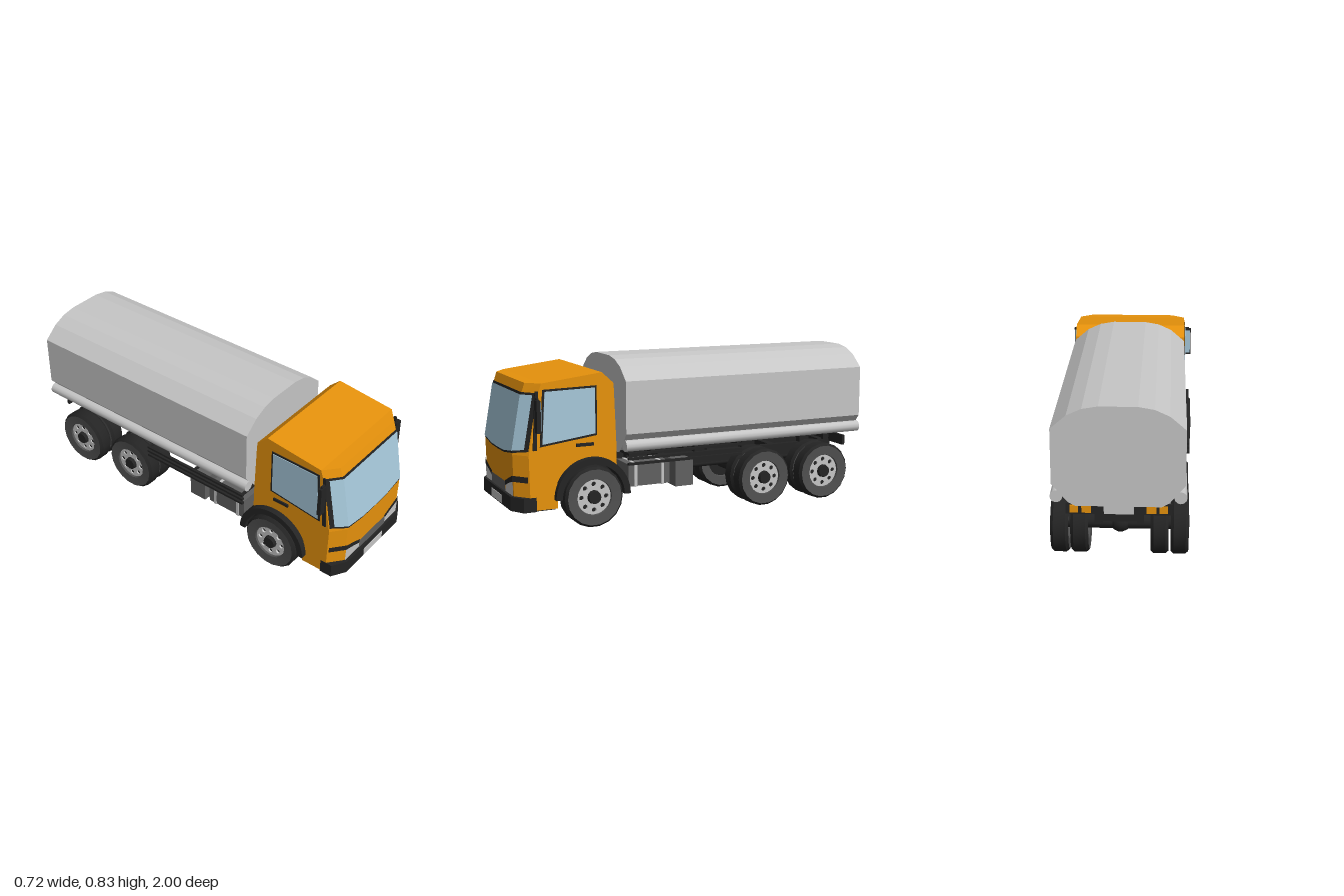
import * as THREE from 'three';
import { toCreasedNormals } from 'three/addons/utils/BufferGeometryUtils.js';

const paint = (name, color, side = THREE.FrontSide) => {
  const m = new THREE.MeshStandardMaterial({ color, side });
  m.name = name;
  return m;
};

export function createModel() {
  const orange = paint('orange paint', 0xe8930c);
  const silver = paint('silver', 0xc6c6c6);
  const glass = paint('pale blue glass', 0xa6c8da);
  const black = paint('black plastic', 0x242424);
  const rubber = paint('tyre grey', 0x505050);
  const grey = paint('mid grey', 0x606060);

  const truck = new THREE.Group();
  truck.name = 'tankTruck';

  const add = (name, geo, mat, x = 0, y = 0, z = 0, parent = truck) => {
    const mesh = new THREE.Mesh(geo, mat);
    mesh.name = name;
    mesh.position.set(x, y, z);
    parent.add(mesh);
    return mesh;
  };
  // box given by its limits
  const box = (name, mat, x0, x1, y0, y1, z0, z1) =>
    add(name, new THREE.BoxGeometry(x1 - x0, y1 - y0, z1 - z0), mat, (x0 + x1) / 2, (y0 + y1) / 2, (z0 + z1) / 2);
  const pair = (name, mat, x0, x1, ...rest) => {
    box(name + 'Left', mat, x0, x1, ...rest);
    box(name + 'Right', mat, -x1, -x0, ...rest);
  };
  // flat-shaded faces from quads of corner points
  const quads = (list) => {
    const pos = [];
    for (const [a, b, c, d] of list) pos.push(...a, ...b, ...c, ...a, ...c, ...d);
    const g = new THREE.BufferGeometry();
    g.setAttribute('position', new THREE.Float32BufferAttribute(pos, 3));
    g.computeVertexNormals();
    return g;
  };
  // solid through mirrored rings; each level lists the four +x points, front to back
  const loft = (levels) => {
    const rings = levels.map((h) => [...h, ...h.map(([x, y, z]) => [-x, y, z]).reverse()]);
    const list = [];
    for (let r = 0; r + 1 < rings.length; r++)
      for (let i = 0; i < 8; i++) {
        const j = (i + 1) % 8;
        list.push([rings[r][i], rings[r][j], rings[r + 1][j], rings[r + 1][i]]);
      }
    const low = rings[0], top = rings[rings.length - 1];
    for (let i = 0; i < 3; i++) {
      list.push([top[i], top[i + 1], top[6 - i], top[7 - i]]);
      list.push([low[7 - i], low[6 - i], low[i + 1], low[i]]);
    }
    return quads(list);
  };
  // extruded outline in (z, y), placed on both sides
  const sidePlate = (name, points, outerX, depth, mat) => {
    const shape = points instanceof THREE.Shape ? points : new THREE.Shape(points.map((p) => new THREE.Vector2(...p)));
    const g = new THREE.ExtrudeGeometry(shape, { depth, bevelEnabled: false, curveSegments: 14 });
    g.rotateY(-Math.PI / 2);
    add(name + 'Left', g, mat, outerX);
    add(name + 'Right', g, mat, -outerX + depth);
  };

  // --- cab ---
  const W = 0.314, F = 0.24;
  const slope = [[0.1, 0.98], [0.385, 0.985], [0.69, 0.93], [0.735, 0.915]];
  const frontZ = (x, y) => {
    let k = 0;
    while (k < 2 && y > slope[k + 1][0]) k++;
    const [[y0, z0], [y1, z1]] = [slope[k], slope[k + 1]];
    return z0 + ((z1 - z0) * (y - y0)) / (y1 - y0) - (Math.max(0, Math.abs(x) - F) / (W - F)) * 0.06;
  };
  const level = (y, zm, zb) => [[F, y, frontZ(F, y)], [W, y, frontZ(W, y)], [W, y, zm], [W, y, zb]];
  add('cabUpper', loft([
    level(0.36, 0.55, 0.465), level(0.385, 0.55, 0.465), level(0.69, 0.55, 0.477),
    [[F, 0.735, 0.915], [W, 0.737, 0.855], [W, 0.775, 0.54], [W, 0.72, 0.48]],
  ]), orange);
  add('cabLowerFront', loft([level(0.11, 0.82, 0.78), level(0.36, 0.82, 0.78)]), orange);
  const arch = new THREE.Shape();
  arch.moveTo(0.465, 0.36);
  arch.lineTo(0.465, 0.303);
  arch.absarc(0.6, 0.155, 0.2, Math.PI - 0.832, 0.451, true);
  arch.lineTo(0.78, 0.36);
  sidePlate('wheelArchPanel', arch, W, 0.02, orange);
  const fender = new THREE.Shape();
  fender.absarc(0.6, 0.155, 0.198, 0, Math.PI, false);
  fender.absarc(0.6, 0.155, 0.165, Math.PI, 0, true);
  sidePlate('fender', fender, 0.345, 0.095, black);
  box('cabFloor', black, -0.29, 0.29, 0.335, 0.359, 0.47, 0.78);
  box('engineTray', black, -0.2, 0.2, 0.15, 0.34, 0.56, 0.79);
  box('frontUnderside', black, -0.29, 0.29, 0.1, 0.13, 0.785, 0.93);

  // panels following the cab front; columns of [x, bottom, top]
  const strip = (name, cols, offset, mat) => {
    const at = (x, y) => [x, y, frontZ(x, y) + offset];
    add(name, quads(cols.slice(1).map(([x1, b1, t1], i) => {
      const [x0, b0, t0] = cols[i];
      return [at(x0, b0), at(x1, b1), at(x1, t1), at(x0, t0)];
    })), mat);
  };
  const mirrorCols = (cols) => cols.map(([x, b, t]) => [-x, b, t]).reverse();
  const both = (name, cols, offset, mat) => {
    strip(name + 'Left', cols, offset, mat);
    strip(name + 'Right', mirrorCols(cols), offset, mat);
  };
  const screen = [[0, 0.385, 0.68], [0.11, 0.387, 0.68], [F, 0.405, 0.68], [0.295, 0.415, 0.68]];
  const rim = [[0, 0.374, 0.691], [0.11, 0.376, 0.691], [F, 0.394, 0.691], [0.312, 0.406, 0.691]];
  strip('windscreenFrame', [...mirrorCols(rim), ...rim.slice(1)], 0.003, black);
  strip('windscreen', [...mirrorCols(screen), ...screen.slice(1)], 0.007, glass);
  strip('grille', [[-0.12, 0.175, 0.23], [0.12, 0.175, 0.23]], 0.008, grey);
  both('headlight', [[0.113, 0.175, 0.215], [F, 0.175, 0.252]], 0.004, silver);
  both('lampBrow', [[0.115, 0.208, 0.232], [0.18, 0.232, 0.258], [F, 0.25, 0.28], [0.312, 0.25, 0.28]], 0.006, black);

  // bumper and number plate
  const bumperRing = (y) => [[F, y, 1], [0.316, y, 0.955], [0.316, y, 0.92], [0.316, y, 0.89]];
  add('bumper', loft([bumperRing(0.104), bumperRing(0.176)]), black);
  box('frontPlate', silver, -0.085, 0.085, 0.11, 0.152, 0.998, 1.003);

  // side windows, handles, pillars and mirrors
  sidePlate('sideWindowFrame', [[0.868, 0.425], [0.57, 0.463], [0.57, 0.712], [0.85, 0.706]], W + 0.004, 0.006, black);
  sidePlate('sideWindow', [[0.856, 0.437], [0.58, 0.473], [0.58, 0.702], [0.84, 0.696]], W + 0.007, 0.006, glass);
  sidePlate('pillarTrim', [[0.905, 0.41], [0.885, 0.41], [0.872, 0.7], [0.888, 0.7]], W + 0.006, 0.008, black);
  pair('doorHandle', black, 0.312, 0.322, 0.412, 0.428, 0.59, 0.68);
  pair('mirror', black, 0.318, 0.357, 0.5, 0.66, 0.873, 0.893);
  pair('mirrorGlass', glass, 0.322, 0.353, 0.51, 0.65, 0.869, 0.874);
  pair('mirrorArm', black, 0.305, 0.345, 0.66, 0.67, 0.878, 0.888);

  // --- tank ---
  const half = [[0.2, 0.34], [0.235, 0.36], [0.31, 0.45], [0.31, 0.72], [0.235, 0.785], [0.165, 0.817], [0.09, 0.83]];
  const outline = [...half, ...half.map(([x, y]) => [-x, y]).reverse()].map((p) => new THREE.Vector2(...p));
  add('tank', new THREE.ExtrudeGeometry(new THREE.Shape(outline), { depth: 1.41, bevelEnabled: false }), silver, 0, 0, -1);
  const pipe = new THREE.CylinderGeometry(0.03, 0.03, 1.41, 12).rotateX(Math.PI / 2);
  for (const s of [1, -1]) add('sidePipe', pipe, silver, s * 0.288, 0.387, -0.295);

  // --- chassis ---
  pair('chassisRail', black, 0.085, 0.115, 0.22, 0.285, -0.94, 0.56);
  for (const z of [0.43, 0.1, -0.2, -0.58, -0.92]) box('crossMember', black, -0.1, 0.1, 0.235, 0.28, z - 0.02, z + 0.02);
  for (const z of [0.3, -0.1, -0.39, -0.765]) pair('tankMount', black, 0.08, 0.12, 0.28, 0.345, z - 0.03, z + 0.03);
  // side guards
  for (const y of [0.302, 0.328, 0.353]) pair('guardBar', black, 0.325, 0.34, y - 0.006, y + 0.006, -0.24, 0.41);
  for (const z of [-0.235, 0.08, 0.4]) pair('guardBracket', black, 0.2, 0.335, 0.345, 0.357, z - 0.006, z + 0.006);
  // fuel tanks and equipment boxes
  pair('fuelTank', grey, 0.15, 0.31, 0.18, 0.295, 0.17, 0.4);
  for (const z of [0.21, 0.36]) pair('fuelTankStrap', silver, 0.147, 0.314, 0.177, 0.298, z - 0.008, z + 0.008);
  pair('equipmentBox', grey, 0.14, 0.3, 0.152, 0.29, 0.03, 0.13);
  // tail bar and lamps
  box('tailBar', black, -0.25, 0.25, 0.275, 0.33, -0.95, -0.935);
  box('rearPlate', silver, -0.07, 0.07, 0.28, 0.322, -0.957, -0.95);
  pair('tailLamp', orange, 0.13, 0.175, 0.285, 0.322, -0.957, -0.95);
  pair('indicator', orange, 0.19, 0.23, 0.285, 0.322, -0.957, -0.95);
  pair('tailBracket', black, 0.09, 0.11, 0.27, 0.345, -0.94, -0.9);

  // --- wheels ---
  const R = 0.155;
  const lathe = (pts) => toCreasedNormals(new THREE.LatheGeometry(pts.map((p) => new THREE.Vector2(...p)), 18), 0.6);
  const tyre = (parent, h, y) => {
    add('tread', lathe([[R - 0.012, -h], [R, -h + 0.014], [R, h - 0.014], [R - 0.012, h]]), black, 0, y, 0, parent);
    add('outerSidewall', lathe([[R - 0.012, h], [0.092, h - 0.004], [0.088, h - 0.03]]), rubber, 0, y, 0, parent);
    add('innerSidewall', lathe([[0.088, -h + 0.03], [0.092, -h + 0.004], [R - 0.012, -h]]), rubber, 0, y, 0, parent);
    add('wheelDisc', new THREE.CylinderGeometry(0.09, 0.09, h, 18), black, 0, y, 0, parent);
  };
  const rimShape = new THREE.Shape().absarc(0, 0, 0.09, 0, Math.PI * 2);
  for (let i = 0; i < 8; i++) {
    const a = (i * Math.PI) / 4;
    rimShape.holes.push(new THREE.Path().absarc(0.066 * Math.cos(a), 0.066 * Math.sin(a), 0.012, 0, Math.PI * 2, true));
  }
  const rimGeo = new THREE.ExtrudeGeometry(rimShape, { depth: 0.01, bevelEnabled: false, curveSegments: 9 }).rotateX(-Math.PI / 2);
  const wheel = (name, side, x, z, h, dual) => {
    const g = new THREE.Group();
    g.name = name;
    g.position.set(side * x, R, z);
    g.rotation.z = (-side * Math.PI) / 2;
    tyre(g, h, 0);
    if (dual) tyre(g, h, -0.096);
    add('rim', rimGeo, silver, 0, h - 0.025, 0, g);
    add('hub', new THREE.CylinderGeometry(0.032, 0.04, 0.04, 12), black, 0, h - 0.016, 0, g);
    truck.add(g);
  };
  for (const s of [1, -1]) {
    wheel('frontWheel', s, 0.303, 0.6, 0.053, false);
    for (const z of [-0.39, -0.765]) wheel('rearWheel', s, 0.287, z, 0.043, true);
  }
  const axle = new THREE.CylinderGeometry(0.038, 0.038, 0.54, 12).rotateZ(Math.PI / 2);
  for (const z of [0.6, -0.39, -0.765]) {
    add('axle', axle, black, 0, R, z);
    pair('axleSpring', black, 0.085, 0.115, 0.16, 0.23, z - 0.05, z + 0.05);
  }
  for (const z of [-0.39, -0.765]) add('differential', new THREE.SphereGeometry(0.055, 12, 8), black, 0, R, z);
  const shaft = new THREE.CylinderGeometry(0.018, 0.018, 1.4, 8).rotateX(Math.PI / 2);
  add('driveShaft', shaft, black, 0, 0.19, -0.07);

  return truck;
}
